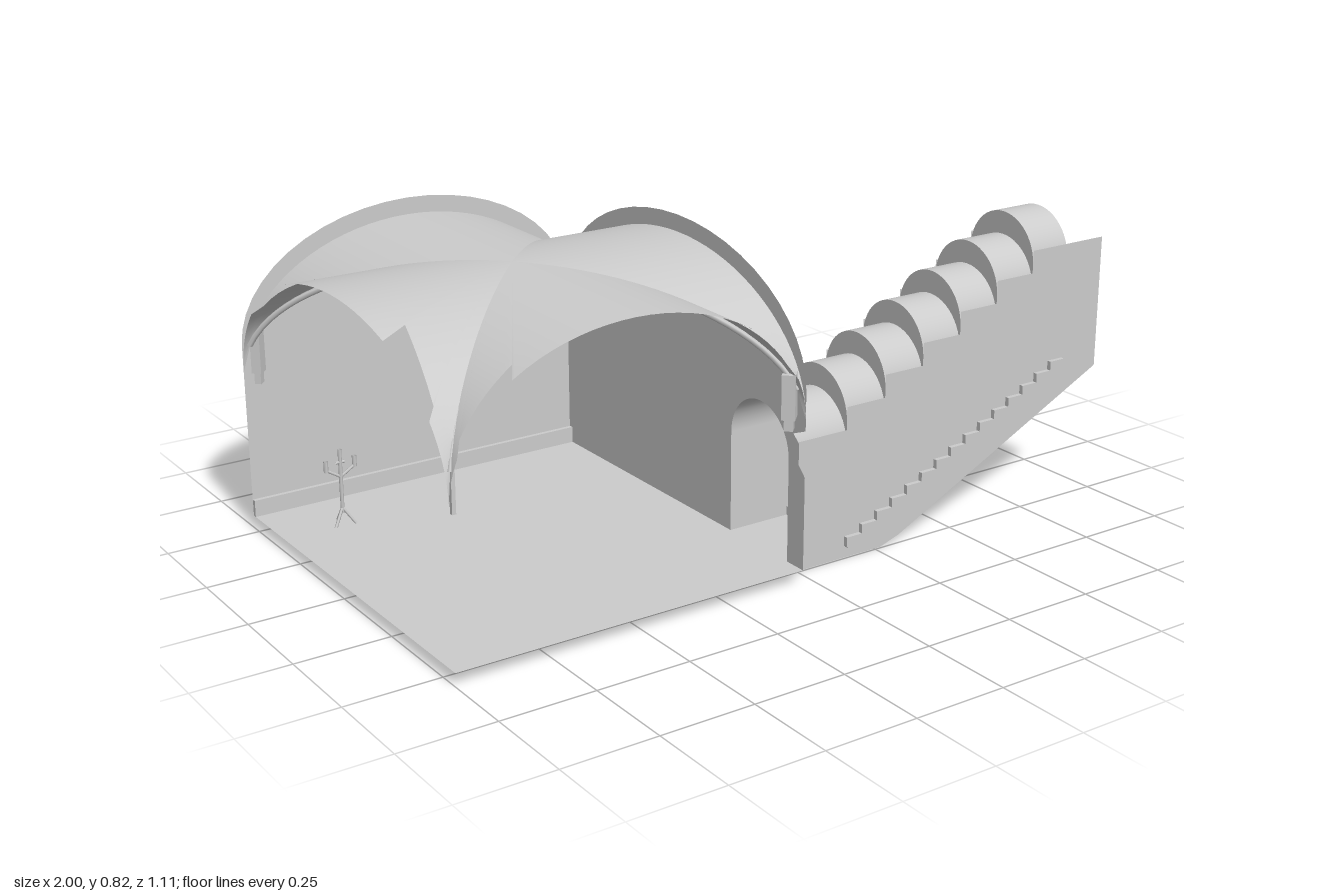
import * as THREE from 'three';

const CX = -0.515, CZ = 0.015, HX = 0.485, HZ = 0.545; // room centre and half sizes
const FLOOR = 0.035, X0 = -1, X1 = -0.03, Z0 = -0.53, Z1 = 0.56;
const TZ = 0.375, TR = 0.12; // stair tunnel axis and radius

export function createModel() {
  const model = new THREE.Group();
  const mat = new THREE.MeshStandardMaterial({ color: 0xcccccc, side: THREE.DoubleSide });
  const add = (name, geo, x = 0, y = 0, z = 0, parent = model) => {
    const mesh = new THREE.Mesh(geo, mat);
    mesh.name = name;
    mesh.position.set(x, y, z);
    parent.add(mesh);
    return mesh;
  };
  const box = (name, w, h, d, x, y, z, parent) => add(name, new THREE.BoxGeometry(w, h, d), x, y, z, parent);
  const poly = pts => new THREE.ShapeGeometry(new THREE.Shape(pts.map(p => new THREE.Vector2(...p))));
  // points along a half ellipse, from angle a to angle b
  const arc = (cx, cy, rx, ry, a, b, n = 24) => Array.from({ length: n + 1 }, (_, i) => {
    const t = a + (b - a) * i / n;
    return [cx + rx * Math.cos(t), cy + ry * Math.sin(t)];
  });

  // Room floor
  add('floor', new THREE.PlaneGeometry(2 * HX, 2 * HZ).rotateX(-Math.PI / 2), CX, FLOOR, CZ);

  // Back wall with a rounded top
  add('backWall', poly([[X0, FLOOR], [X1, FLOOR], ...arc(CX, 0.5, HX, 0.32, 0, Math.PI)]), 0, 0, Z0);
  box('skirting', 2 * HX, 0.045, 0.012, CX, FLOOR + 0.0225, Z0 + 0.007);

  // Side wall with doorway and broken front edge, drawn in (z, y)
  const sideWall = poly([
    [Z0, FLOOR], [TZ - TR, FLOOR], ...arc(TZ, 0.305, TR, TR, Math.PI, 0), [TZ + TR, FLOOR],
    [Z1, FLOOR], [Z1, 0.28], [0.535, 0.305], [0.535, 0.36], [0.512, 0.38], [Z1, 0.4],
    ...arc(CZ, 0.5, HZ, 0.32, 0, Math.PI),
  ]).rotateY(-Math.PI / 2);
  add('sideWall', sideWall, X1);

  // Cross vault: four webs; front and left webs have torn corners
  const SPRING = 0.43, RISE = 0.345;
  const vaultY = m => SPRING + RISE * Math.sqrt(Math.max(0, 1 - m * m));
  const web = (name, toPlan, tears) => {
    const cols = [];
    for (let i = 0; i <= 40; i++) {
      const w = Math.sin((i / 40 - 0.5) * Math.PI);
      cols.push([w, 1]);
    }
    if (tears) {
      const [start, startT, end, endT] = tears;
      for (const c of cols) {
        const a = Math.abs(c[0]);
        if (a > start && a < end) c[1] = startT + (endT - startT) * (a - start) / (end - start);
      }
      for (const s of [-1, 1]) cols.push([s * start, 1], [s * (start + 0.001), startT], [s * end, endT], [s * (end + 0.001), 1]);
      cols.sort((p, q) => p[0] - q[0]);
    }
    const pos = [], idx = [], N = 24;
    cols.forEach(([w, tMax], c) => {
      for (let j = 0; j <= N; j++) {
        const t = tMax * j / N, [u, v] = toPlan(w * t, t);
        pos.push(CX + HX * u, vaultY(w * t), CZ + HZ * v);
        if (c && j) {
          const a = c * (N + 1) + j, b = a - N - 1;
          idx.push(b - 1, b, a, b - 1, a, a - 1);
        }
      }
    });
    const g = new THREE.BufferGeometry();
    g.setAttribute('position', new THREE.Float32BufferAttribute(pos, 3));
    g.setIndex(idx);
    // keep the outside of the web facing up
    g.computeVertexNormals();
    if (g.attributes.normal.getY(Math.floor(cols.length / 2) * (N + 1) + 12) < 0) {
      g.setIndex(idx.reverse());
      g.computeVertexNormals();
    }
    add(name, g);
  };
  web('vaultFront', (s, t) => [s, t], [0.66, 0.91, 0.95, 0.96]);
  web('vaultBack', (s, t) => [s, -t]);
  web('vaultLeft', (s, t) => [-t, s], [0.48, 0.84, 0.86, 0.95]);
  web('vaultRight', (s, t) => [t, s]);

  // Diagonal ribs under the creases
  for (const s of [-1, 1]) {
    const pts = Array.from({ length: 33 }, (_, i) => {
      const m = 0.97 * Math.sin((i / 32 - 0.5) * Math.PI);
      return new THREE.Vector3(CX + HX * m, vaultY(m) - 0.009, CZ + s * HZ * m);
    });
    add('vaultRib', new THREE.TubeGeometry(new THREE.CatmullRomCurve3(pts), 48, 0.008, 6));
  }

  // Corner brackets carrying the ribs
  const bracket = (x, z, size) => {
    const g = new THREE.Group();
    g.name = 'cornerBracket';
    g.position.set(x, 0, z);
    g.rotation.y = Math.PI / 4;
    box('bracketBlock', size, 0.115, size * 0.75, 0, 0.4875, 0, g);
    box('bracketFoot', size * 0.65, 0.03, size * 0.5, 0, 0.415, 0, g);
    model.add(g);
  };
  bracket(-0.04, -0.522, 0.05);
  bracket(-0.965, -0.515, 0.034);
  bracket(-0.055, 0.527, 0.045);
  box('hangingRibEnd', 0.01, 0.11, 0.01, -0.98, 0.46, 0.54);

  // Stair tunnel: stepped side walls
  const SEG = 7, edge = i => (i ? 0.15 + (i - 1) * 0.121 : X1), base = i => 0.345 + i * 0.0608;
  const profile = [[X1, 0], [0.27, 0], [0.33, 0.02], [1, 0.352], [1, 0.71], [edge(SEG), 0.71]];
  for (let i = SEG - 1; i >= 0; i--) profile.push([edge(i + 1), base(i)], [edge(i), base(i)]);
  for (const s of [-1, 1]) add('tunnelWall', poly(profile), 0, 0, TZ + s * TR);

  // Stepped barrel roof with crescent risers
  for (let i = 0; i < SEG; i++) {
    const len = edge(i + 1) - edge(i), cy = base(i) - 0.04;
    const roof = new THREE.CylinderGeometry(TR, TR, len, 24, 1, true, 0, Math.PI).rotateZ(Math.PI / 2);
    // turn the half cylinder so that it arches upward
    add('tunnelRoof', roof, (edge(i) + edge(i + 1)) / 2, cy, TZ);
    if (i) {
      const low = base(i - 1) - 0.04;
      const riser = poly([...arc(TZ, cy, TR, TR, 0, Math.PI), ...arc(TZ, low, TR, TR, Math.PI, 0)]);
      add('roofRiser', riser.rotateY(-Math.PI / 2), edge(i));
    }
  }

  // Stairs: one thin folded strip, a little wider than the tunnel
  const STEPS = 15, dx = 0.725 / STEPS, dy = 0.362 / STEPS, T = 0.007;
  const top = [[0.15, FLOOR]];
  for (let i = 0; i < STEPS; i++) {
    top.push([0.15 + i * dx, FLOOR + (i + 1) * dy], [0.15 + (i + 1) * dx, FLOOR + (i + 1) * dy]);
  }
  const under = top.map(([x, y]) => [x + T, y - T]).reverse();
  const strip = new THREE.Shape([...top, ...under].map(p => new THREE.Vector2(...p)));
  add('stairs', new THREE.ExtrudeGeometry(strip, { depth: 0.264, bevelEnabled: false }), 0, 0, TZ - 0.132);
  box('upperLanding', 0.058, T, 0.24, 0.904, 0.393, TZ);
  box('lowerLanding', 0.18, T, 0.24, 0.06, FLOOR - T / 2, TZ);

  // Branched stand on three feet
  const stand = new THREE.Group();
  stand.name = 'candleStand';
  stand.position.set(-0.83, FLOOR, -0.35);
  const rod = (name, a, b, r = 0.004) => {
    const curve = new THREE.LineCurve3(new THREE.Vector3(...a), new THREE.Vector3(...b));
    add(name, new THREE.TubeGeometry(curve, 1, r, 6), 0, 0, 0, stand);
  };
  rod('standPole', [0, 0.03, 0], [0, 0.205, 0], 0.005);
  for (let i = 0; i < 3; i++) {
    const a = i * Math.PI * 2 / 3 + Math.PI / 6, c = Math.cos(a), s = Math.sin(a);
    rod('standFoot', [0, 0.045, 0], [0.033 * c, 0, 0.033 * s]);
  }
  for (const s of [-1, 1]) {
    rod('standArm', [0, 0.13, 0], [s * 0.04, 0.155, 0]);
    rod('standCandle', [s * 0.04, 0.15, 0], [s * 0.04, 0.18, 0], 0.006);
  }
  rod('standTopDish', [-0.012, 0.17, 0], [0.012, 0.17, 0]);
  model.add(stand);

  return model;
}
